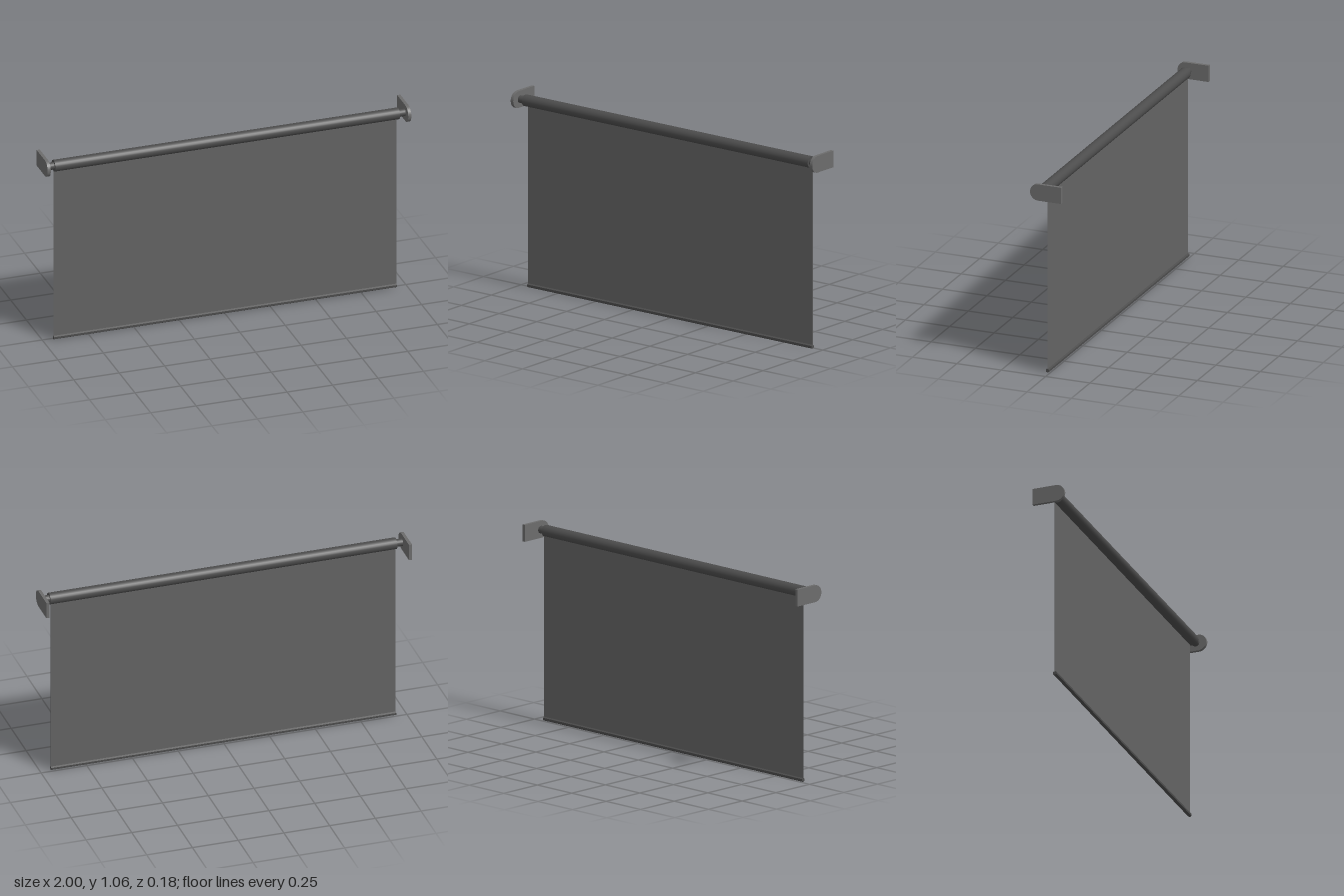
import * as THREE from 'three';

export function createModel() {
  const group = new THREE.Group();
  const clothMaterial = new THREE.MeshStandardMaterial({ color: 0x646464 });
  const bracketMaterial = new THREE.MeshStandardMaterial({ color: 0x6c6c6c });
  const tubeMaterial = new THREE.MeshStandardMaterial({ color: 0x4c4c4c });
  const barMaterial = new THREE.MeshStandardMaterial({ color: 0x4c4c4c, flatShading: true });
  const axisY = 1.013, axisZ = 0.03;

  function add(name, geometry, material, x, y, z) {
    const mesh = new THREE.Mesh(geometry, material);
    mesh.name = name;
    mesh.position.set(x, y, z);
    group.add(mesh);
  }

  // Cylinder lying along x
  function rod(radius, length, sides, start = 0) {
    return new THREE.CylinderGeometry(radius, radius, length, sides, 1, false, start).rotateZ(Math.PI / 2);
  }

  // Roller tube with the hanging cloth and its bottom bar
  add('rollerTube', rod(0.031, 1.896, 24), tubeMaterial, 0, axisY, axisZ);
  add('blindCloth', new THREE.BoxGeometry(1.886, 1.0, 0.002), clothMaterial, 0, 0.512, 0.013);
  add('bottomBar', rod(0.011, 1.886, 6, Math.PI / 6), barMaterial, 0, 0.011, 0.013);

  // Bracket outline: square at the wall, round at the front
  const half = 0.045, depth = 0.088, thickness = 0.017;
  const outline = new THREE.Shape();
  outline.moveTo(depth, -half);
  outline.lineTo(depth, half);
  outline.lineTo(half - depth, half);
  outline.absarc(half - depth, 0, half, Math.PI / 2, Math.PI * 1.5, false);
  outline.closePath();
  const plate = new THREE.ExtrudeGeometry(outline, { depth: thickness, bevelEnabled: false, curveSegments: 20 });
  plate.translate(0, 0, -thickness / 2).rotateY(Math.PI / 2);

  // A bracket and an axle pin at each end
  for (const [side, s] of [['left', 1], ['right', -1]]) {
    add(side + 'Bracket', plate, bracketMaterial, s * (1 - thickness / 2), axisY, 0);
    add(side + 'AxlePin', rod(0.02, 0.06, 20), tubeMaterial, s * 0.96, axisY, axisZ);
  }
  return group;
}
